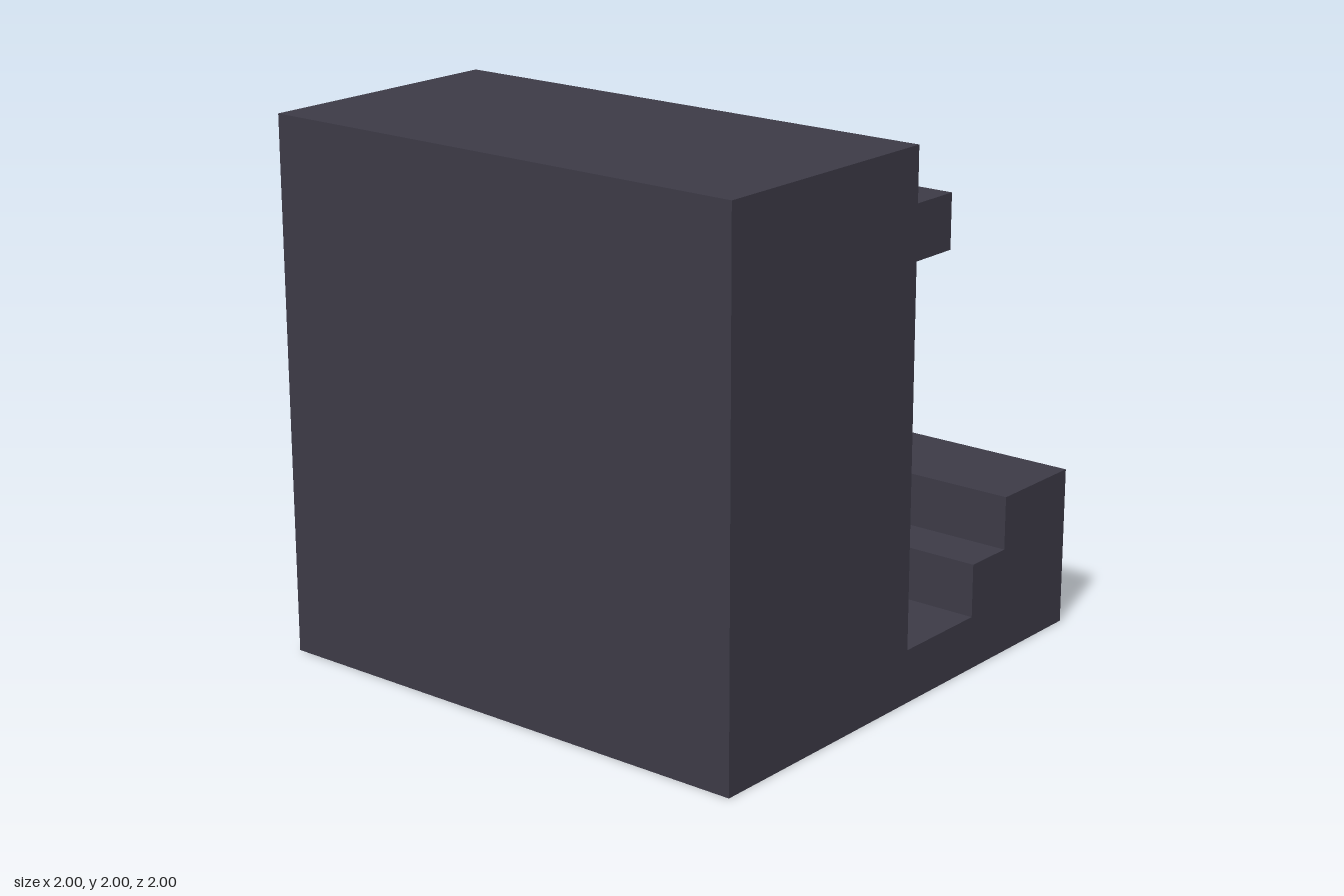
import * as THREE from 'three';

export function createModel() {
  const model = new THREE.Group();
  const dark = new THREE.MeshStandardMaterial({ color: 0x3c3a46 });
  dark.name = 'dark slate';
  const teal = new THREE.MeshStandardMaterial({ color: 0x3dcab2 });
  teal.name = 'teal';

  // Body: tall block, ledge, floor and two steps as one side profile (z, y)
  const profile = [
    [1, 0], [1, 2], [0, 2], [0, 1.8], [-0.2, 1.8], [-0.2, 1.6], [0, 1.6],
    [0, 0.2], [-0.4, 0.2], [-0.4, 0.4], [-0.6, 0.4], [-0.6, 0.6], [-1, 0.6], [-1, 0],
  ];
  const shape = new THREE.Shape(profile.map(([z, y]) => new THREE.Vector2(z, y)));
  const bodyGeo = new THREE.ExtrudeGeometry(shape, { depth: 2, bevelEnabled: false });
  bodyGeo.rotateY(-Math.PI / 2).translate(1, 0, 0);
  const body = new THREE.Mesh(bodyGeo, dark);
  body.name = 'steppedBody';
  model.add(body);

  // Teal blocks climbing the back wall: [x min, x max, y min, depth]
  const blocks = [
    ['upperBlock', -0.6, -0.2, 1.2, 0.2],
    ['middleBlock', -0.4, 0, 1.0, 0.2],
    ['lowerBlock', -0.2, 0.2, 0.6, 0.2],
    ['wallPanel', 0.2, 0.4, 0.2, 0.004],
  ];
  for (const [name, x0, x1, y0, depth] of blocks) {
    const block = new THREE.Mesh(new THREE.BoxGeometry(x1 - x0, 0.2, depth), teal);
    block.position.set((x0 + x1) / 2, y0 + 0.1, -depth / 2);
    block.name = name;
    model.add(block);
  }
  return model;
}
